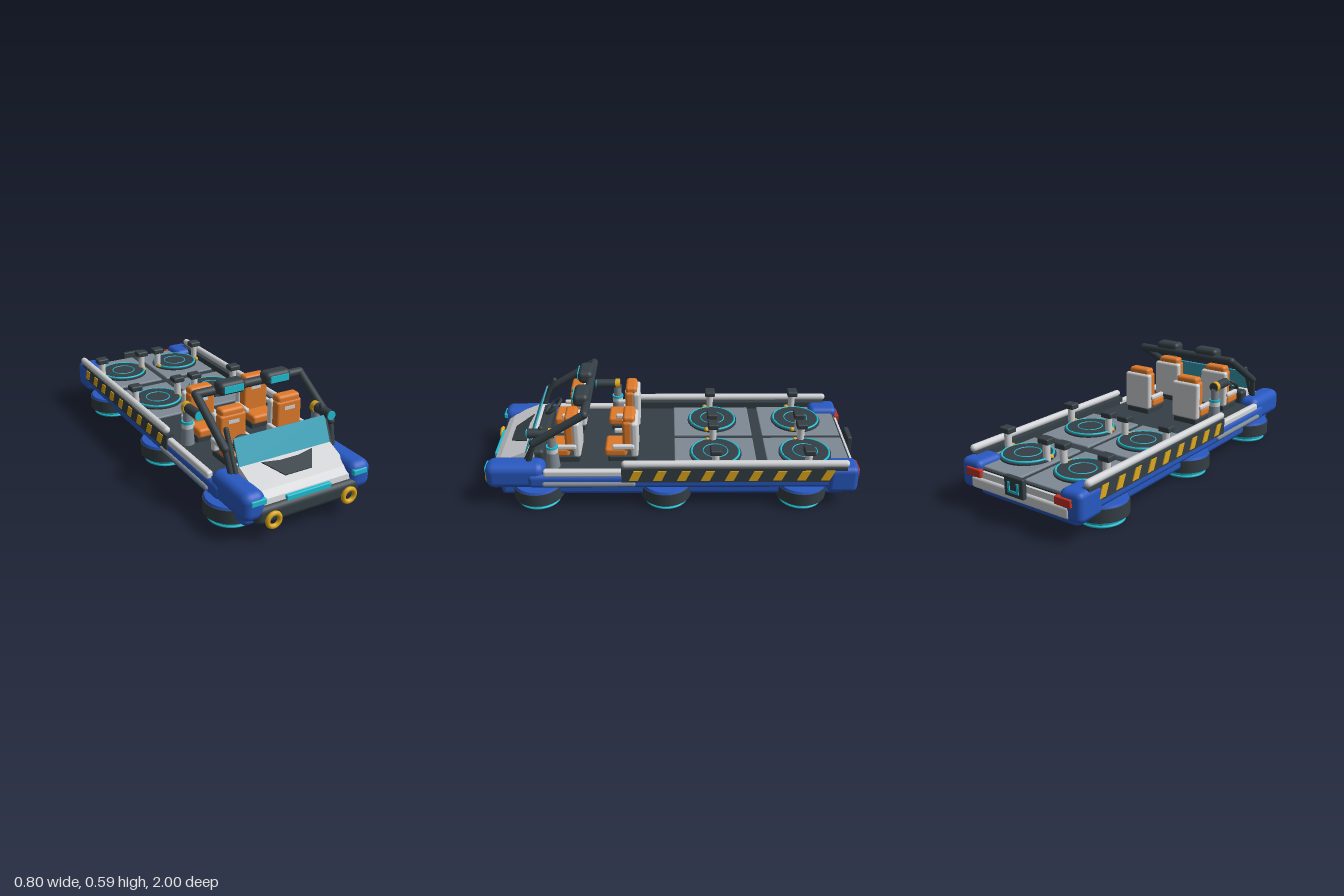
import * as THREE from 'three';
import { RoundedBoxGeometry } from 'three/addons/geometries/RoundedBoxGeometry.js';

export function createModel() {
  const root = new THREE.Group();
  root.name = 'hoverTransport';
  const mat = (name, color, side = THREE.FrontSide) => {
    const m = new THREE.MeshStandardMaterial({ color, side });
    m.name = name;
    return m;
  };
  const blue = mat('bodyBlue', 0x2859c2), dark = mat('darkTrim', 0x343f45), white = mat('paleTrim', 0xd2d4d7);
  const grey = mat('deckGrey', 0x7f8a95), orange = mat('seatOrange', 0xe07b2a), yellow = mat('warningYellow', 0xdfa91e);
  const cyan = mat('glowCyan', 0x20bfd3), red = mat('tailRed', 0xc43224);
  const glass = mat('windscreenTeal', 0x3aa4bb, THREE.DoubleSide);

  const add = (name, geo, m, x = 0, y = 0, z = 0, parent = root) => {
    const mesh = new THREE.Mesh(geo, m);
    mesh.name = name;
    mesh.position.set(x, y, z);
    parent.add(mesh);
    return mesh;
  };
  // Box given by its limits on each axis, with optional rounded edges
  const box = (name, m, [x0, x1], [y0, y1], [z0, z1], r = 0, parent = root) => {
    const w = x1 - x0, h = y1 - y0, d = z1 - z0;
    const geo = r ? new RoundedBoxGeometry(w, h, d, 3, r) : new THREE.BoxGeometry(w, h, d);
    return add(name, geo, m, (x0 + x1) / 2, (y0 + y1) / 2, (z0 + z1) / 2, parent);
  };
  const disc = (name, m, r, y0, y1, x, z, r2 = r) =>
    add(name, new THREE.CylinderGeometry(r2, r, y1 - y0, 40), m, x, (y0 + y1) / 2, z);
  const ring = (name, m, R, t, x, y, z, flat = true) => {
    const g = new THREE.TorusGeometry(R, t, 10, 40);
    if (flat) g.rotateX(Math.PI / 2);
    return add(name, g, m, x, y, z);
  };
  // Round bar with domed ends between two points
  const bar = (name, m, a, b, r) => {
    const p = new THREE.Vector3(...a), q = new THREE.Vector3(...b), d = q.clone().sub(p);
    const mesh = add(name, new THREE.CapsuleGeometry(r, d.length(), 4, 14), m);
    mesh.position.copy(p).add(q).multiplyScalar(0.5);
    mesh.quaternion.setFromUnitVectors(new THREE.Vector3(0, 1, 0), d.normalize());
    return mesh;
  };

  // Hull and deck
  box('lowerHull', blue, [-0.32, 0.32], [0.05, 0.15], [-0.92, 0.905], 0.03);
  box('upperHull', blue, [-0.37, 0.37], [0.125, 0.205], [-0.95, 0.75], 0.025);
  box('deck', dark, [-0.345, 0.345], [0.18, 0.212], [-0.95, 0.76]);

  // Bonnet: side profile in (z, y) extruded across the width
  const profile = [[0.72, 0.15], [0.72, 0.285], [0.76, 0.288], [0.91, 0.225], [0.945, 0.2], [0.955, 0.15]];
  const bonnetGeo = new THREE.ExtrudeGeometry(new THREE.Shape(profile.map(p => new THREE.Vector2(...p))),
    { depth: 0.52, bevelEnabled: false });
  bonnetGeo.rotateY(-Math.PI / 2);
  add('bonnet', bonnetGeo, white, 0.26);
  const ventPts = [[-0.145, 0.058], [-0.05, 0.042], [0.05, 0.042], [0.145, 0.058], [0.075, -0.045], [-0.075, -0.045]];
  const vent = add('bonnetVent', new THREE.ExtrudeGeometry(new THREE.Shape(ventPts.map(p => new THREE.Vector2(...p))),
    { depth: 0.005, bevelEnabled: false }), dark, 0, 0.259, 0.83);
  vent.rotation.x = -1.173;
  box('dashboard', dark, [-0.26, 0.26], [0.2, 0.29], [0.67, 0.74], 0.02);
  box('frontBumper', dark, [-0.29, 0.29], [0.083, 0.175], [0.86, 0.975], 0.03);
  box('frontLightBar', cyan, [-0.125, 0.125], [0.165, 0.195], [0.93, 0.963], 0.005);

  // Windscreen and steering wheel
  const screen = add('windscreen', new THREE.BoxGeometry(0.52, 0.137, 0.008), glass, 0, 0.343, 0.738);
  screen.rotation.x = -0.41;
  const wheel = ring('steeringWheel', dark, 0.055, 0.009, -0.165, 0.325, 0.67, false);
  wheel.rotation.x = -0.9;
  bar('steeringColumn', dark, [-0.165, 0.325, 0.67], [-0.165, 0.26, 0.72], 0.01);

  // Roll bar and roof lamps
  bar('rollBarTop', dark, [-0.303, 0.533, 0.44], [0.303, 0.533, 0.44], 0.022);

  for (const s of [-1, 1]) {
    const span = (a, b) => s > 0 ? [a, b] : [-b, -a];
    bar('rollBarArm', dark, [s * 0.303, 0.365, 0.71], [s * 0.303, 0.533, 0.44], 0.021);
    bar('windscreenPillar', dark, [s * 0.273, 0.24, 0.765], [s * 0.273, 0.437, 0.67], 0.013);
    bar('rollBarFoot', dark, [s * 0.303, 0.365, 0.71], [s * 0.29, 0.24, 0.75], 0.015);

    const lamp = new THREE.Group();
    lamp.name = 'roofLamp';
    lamp.position.set(s * 0.132, 0.552, 0.468);
    root.add(lamp);
    box('lampHousing', dark, [-0.075, 0.075], [-0.034, 0.034], [-0.042, 0.04], 0.025, lamp);
    box('lampLens', cyan, [-0.053, 0.053], [-0.017, 0.017], [0.036, 0.045], 0, lamp);

    // Front wings with headlamps and yellow tow rings
    box('frontWing', blue, span(0.235, 0.36), [0.11, 0.255], [0.66, 0.972], 0.045);
    box('headlamp', cyan, span(0.245, 0.324), [0.198, 0.226], [0.955, 0.977], 0.004);
    ring('towRing', yellow, 0.033, 0.012, s * 0.213, 0.113, 0.988, false);

    // Rear corners, tail lamps
    box('rearCorner', blue, span(0.25, 0.38), [0.1, 0.25], [-0.97, -0.81], 0.03);
    box('tailLamp', red, span(0.235, 0.33), [0.175, 0.215], [-0.982, -0.955], 0.004);

    // Side rails and hazard panel
    box('hazardPanel', dark, span(0.335, 0.375), [0.17, 0.252], [-0.905, 0.26]);
    bar('topRail', white, [s * 0.363, 0.276, -0.895], [s * 0.363, 0.276, 0.24], 0.019);
    box('cabRail', white, span(0.335, 0.37), [0.197, 0.236], [0.22, 0.665], 0.012);
    bar('lowerRail', grey, [s * 0.372, 0.157, 0.2], [s * 0.372, 0.157, 0.66], 0.013);
    for (let i = 0; i < 9; i++) {
      const g = new THREE.BoxGeometry(0.008, 0.058, 0.045);
      const p = g.attributes.position;
      for (let k = 0; k < p.count; k++) p.setZ(k, p.getZ(k) - s * p.getY(k) * 0.45);
      g.computeVertexNormals();
      add('hazardStripe', g, yellow, s * 0.376, 0.211, 0.186 - i * 0.124);
    }

    // Hover pads
    for (const z of [0.71, 0.03, -0.69]) {
      disc('padCap', blue, 0.132, 0.1, 0.117, s * 0.268, z, 0.125);
      disc('padBody', dark, 0.134, 0.036, 0.105, s * 0.268, z);
      disc('padGlow', cyan, 0.108, 0.004, 0.04, s * 0.268, z, 0.115);
      ring('padRim', cyan, 0.108, 0.007, s * 0.268, 0.007, z);
    }

    // Cargo bays: panel, round plate with glowing rings, clamp posts
    for (const [z0, z1, zc, zp] of [[-0.94, -0.505, -0.715, -0.71], [-0.45, -0.015, -0.235, -0.227]]) {
      box('bayPanel', grey, span(0.015, 0.335), [0.205, 0.222], [z0, z1], 0.006);
      disc('bayPlateEdge', dark, 0.14, 0.22, 0.23, s * 0.178, zc);
      disc('bayPlate', dark, 0.122, 0.22, 0.24, s * 0.178, zc);
      ring('bayOuterGlow', cyan, 0.128, 0.006, s * 0.178, 0.236, zc);
      ring('bayInnerGlow', cyan, 0.066, 0.003, s * 0.178, 0.24, zc);
      for (const x of [0.055, 0.318]) {
        disc('clampPost', white, 0.019, 0.215, 0.315, s * x, zp);
        box('clampCap', dark, span(x - 0.034, x + 0.034), [0.312, 0.343], [zp - 0.029, zp + 0.029], 0.008);
        add('clampKnob', new THREE.SphereGeometry(0.014, 14, 10), yellow, s * x, 0.232, zp + 0.03);
      }
    }

    // Seats, two rows
    for (const z of [0.478, 0.175]) {
      const seat = new THREE.Group();
      seat.name = 'seat';
      seat.position.set(s * 0.163, 0, z);
      root.add(seat);
      box('seatBase', dark, [-0.075, 0.075], [0.205, 0.245], [0.005, 0.16], 0.01, seat);
      box('seatShell', white, [-0.084, 0.084], [0.24, 0.445], [0, 0.038], 0.014, seat);
      box('seatBack', orange, [-0.074, 0.074], [0.27, 0.448], [0.03, 0.082], 0.016, seat);
      box('headrest', orange, [-0.066, 0.066], [0.425, 0.475], [0.016, 0.078], 0.016, seat);
      box('seatCushion', orange, [-0.074, 0.074], [0.238, 0.288], [0.06, 0.178], 0.016, seat);
      box('seatPatch', white, [-0.03, 0.03], [0.4, 0.418], [0.078, 0.085], 0, seat);
      for (const a of [-0.084, 0.084])
        box('armrest', white, [a - 0.012, a + 0.012], [0.295, 0.32], [0.02, 0.135], 0.008, seat);
    }
  }

  // Swivel searchlights, one per side
  for (const [x, z] of [[0.28, 0.67], [-0.28, 0.36]]) {
    disc('searchlightBase', grey, 0.036, 0.205, 0.3, x, z - 0.05, 0.03);
    disc('searchlightBand', cyan, 0.031, 0.325, 0.337, x, z - 0.05);
    disc('searchlightCollar', white, 0.03, 0.3, 0.325, x, z - 0.05);
    disc('searchlightStem', grey, 0.022, 0.335, 0.4, x, z - 0.05);
    const part = (name, m, r, len, dz) =>
      add(name, new THREE.CylinderGeometry(r, r, len, 28).rotateX(Math.PI / 2), m, x, 0.41, z + dz);
    part('searchlightBody', dark, 0.025, 0.136, 0);
    part('searchlightBand', yellow, 0.029, 0.026, -0.052);
    part('searchlightLens', cyan, 0.023, 0.008, 0.07);
  }

  // Rear bumper and hitch plate
  box('rearBumper', white, [-0.31, 0.31], [0.11, 0.172], [-0.975, -0.92], 0.016);
  box('rearSill', white, [-0.25, 0.25], [0.172, 0.205], [-0.965, -0.94]);
  box('hitchPlate', dark, [-0.06, 0.06], [0.145, 0.245], [-0.995, -0.968], 0.006);
  box('hitchGlowBase', cyan, [-0.033, 0.033], [0.167, 0.179], [-1, -0.992]);
  for (const x of [-0.028, 0.028]) box('hitchGlowSide', cyan, [x - 0.006, x + 0.006], [0.167, 0.22], [-1, -0.992]);

  return root;
}
